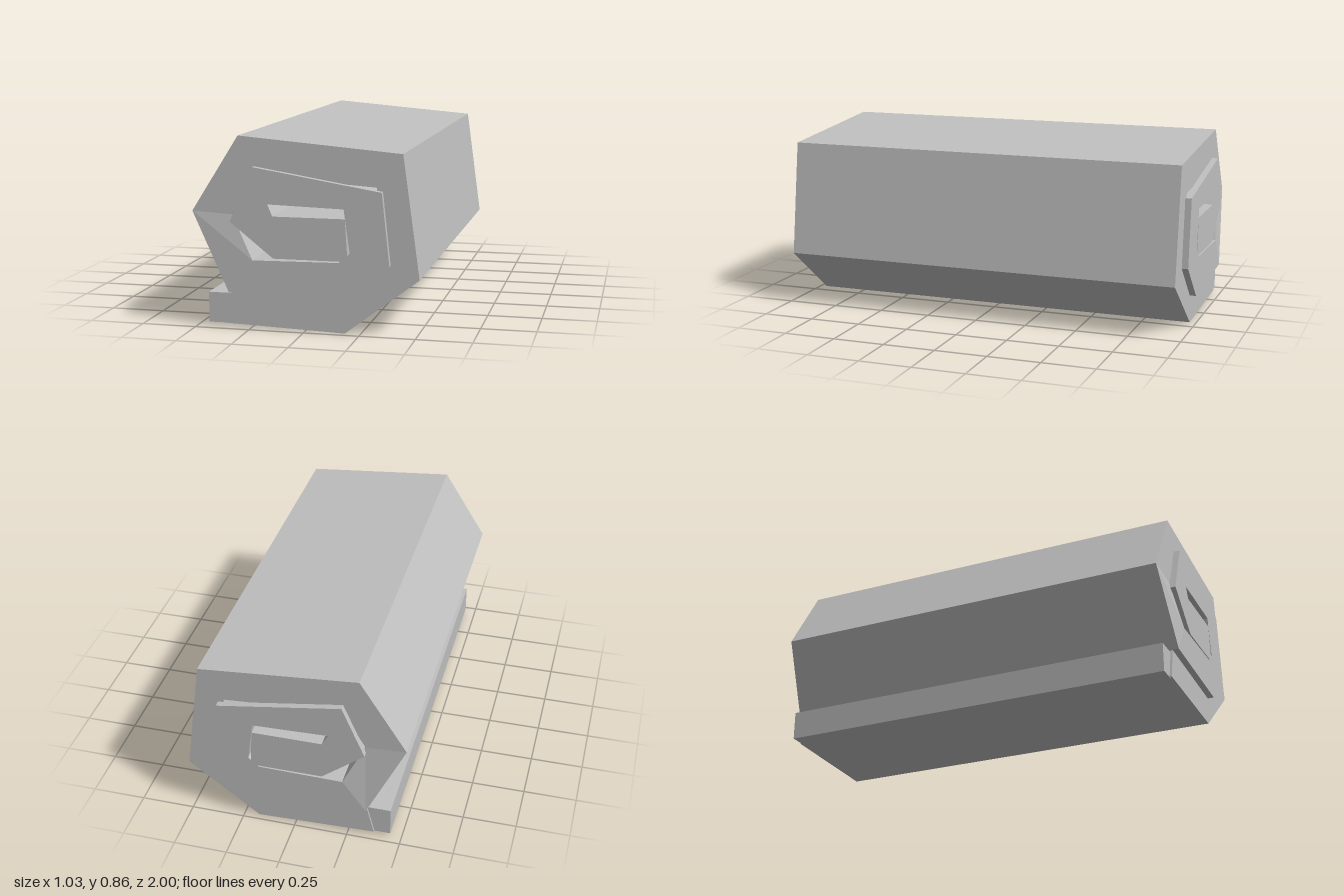
import * as THREE from 'three';

// Rolled strip stations, outside to centre: outer x, y, inner x, y, half length
const stations = [
  [-0.372, 0.022, -0.335, 0.168, 0.97],
  [0.18, 0.003, 0.14, 0.15, 0.97],
  [0.512, 0.257, 0.37, 0.315, 0.97],
  [0.437, 0.803, 0.322, 0.655, 0.97],
  [-0.3, 0.865, -0.225, 0.692, 0.97],
  [-0.515, 0.525, -0.33, 0.515, 0.97],
  [-0.34, 0.168, -0.23, 0.318, 1],
  [0.197, 0.14, 0.16, 0.324, 1],
  [0.385, 0.315, 0.21, 0.367, 1],
  [0.35, 0.638, 0.183, 0.56, 1],
  [-0.228, 0.732, -0.167, 0.57, 1],
  [-0.332, 0.487, -0.137, 0.517, 1],
  [-0.135, 0.33, -0.1, 0.517, 1],
  [0.2, 0.33, 0.188, 0.517, 1],
];

// Joins the four corners of neighbouring stations into a flat-sided solid strip
function stripGeometry(list) {
  const positions = [];
  const quad = (a, b, c, d) => positions.push(...a, ...b, ...c, ...a, ...c, ...d);
  const rings = list.map(([ox, oy, ix, iy, z]) => [
    [ox, oy, z], [ix, iy, z], [ix, iy, -z], [ox, oy, -z],
  ]);
  for (let i = 0; i < rings.length - 1; i++) {
    const a = rings[i], b = rings[i + 1];
    for (let k = 0; k < 4; k++) {
      const n = (k + 1) % 4;
      quad(a[k], b[k], b[n], a[n]);
    }
  }
  // End caps
  const s = rings[0], e = rings[rings.length - 1];
  quad(s[0], s[1], s[2], s[3]);
  quad(e[3], e[2], e[1], e[0]);
  const geometry = new THREE.BufferGeometry();
  geometry.setAttribute('position', new THREE.Float32BufferAttribute(positions, 3));
  geometry.computeVertexNormals();
  return geometry;
}

export function createModel() {
  const group = new THREE.Group();
  group.name = 'rolledMat';
  const grey = new THREE.MeshStandardMaterial({ color: 0xc0c0c0 });
  grey.name = 'grey';

  // Spiral roll
  const roll = new THREE.Mesh(stripGeometry(stations), grey);
  roll.name = 'spiralRoll';
  group.add(roll);

  // Loose end lying beside the roll
  const flap = new THREE.Mesh(new THREE.BoxGeometry(0.105, 0.137, 1.92), grey);
  flap.name = 'looseEnd';
  flap.position.set(-0.3945, 0.0885, 0);
  group.add(flap);

  return group;
}
